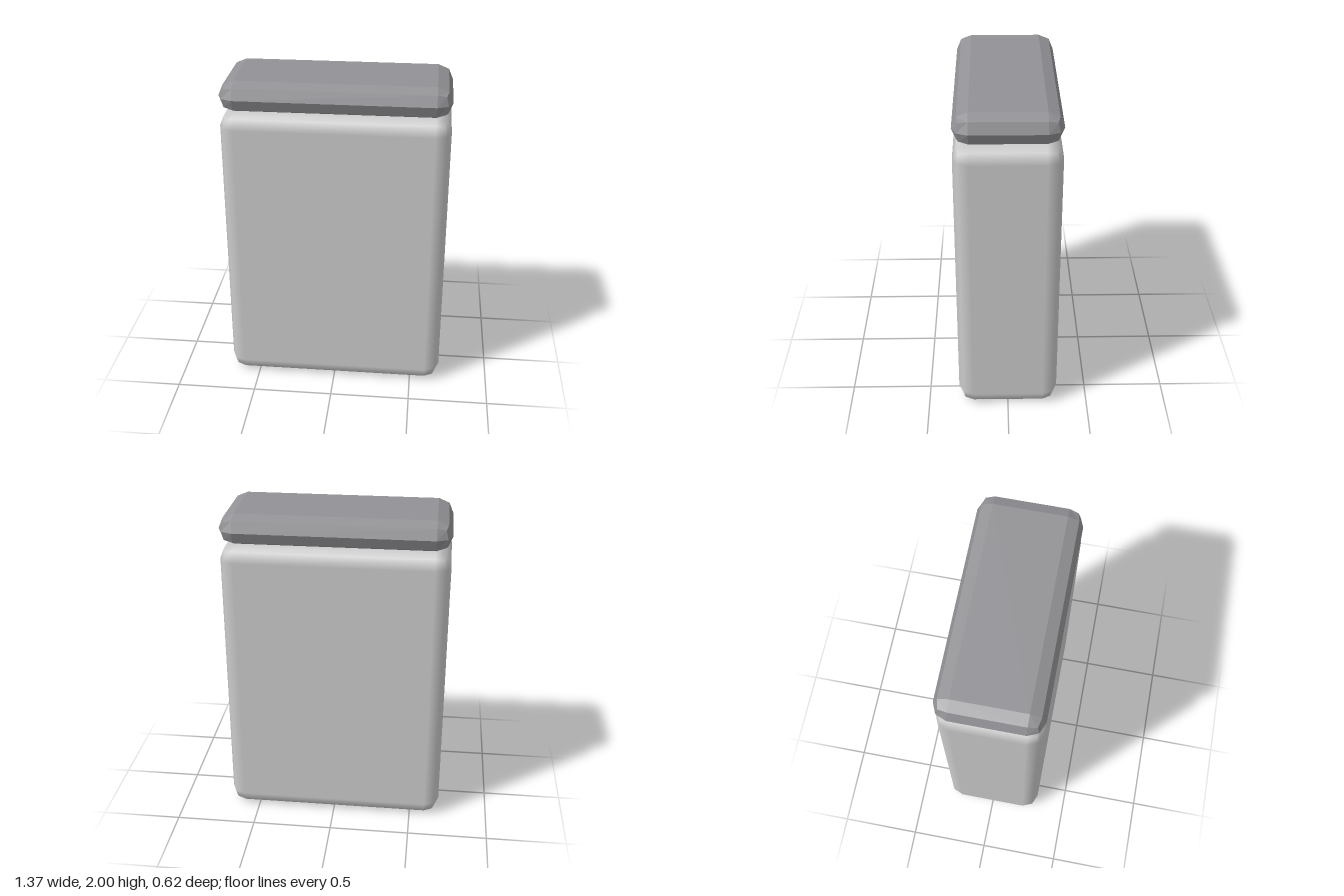
import * as THREE from 'three';
import { RoundedBoxGeometry } from 'three/addons/geometries/RoundedBoxGeometry.js';

const WIDTH = 1.374;
const DEPTH = 0.62;
const RADIUS = 0.093; // shared edge radius, two bevel strips per edge
const LID_HEIGHT = 2 * RADIUS;
const BODY_HEIGHT = 2 - LID_HEIGHT;

function roundedBlock(name, height, bottom, material) {
  const geometry = new RoundedBoxGeometry(WIDTH, height, DEPTH, 1, RADIUS);
  const mesh = new THREE.Mesh(geometry, material);
  mesh.name = name;
  mesh.position.y = bottom + height / 2;
  return mesh;
}

export function createModel() {
  const model = new THREE.Group();
  model.name = 'liddedContainer';

  // Tall body with smooth shading
  const bodyMaterial = new THREE.MeshStandardMaterial({ color: 0xcccccc });
  model.add(roundedBlock('body', BODY_HEIGHT, 0, bodyMaterial));

  // Thin faceted lid whose bevels meet at mid height
  const lidMaterial = new THREE.MeshStandardMaterial({ color: 0x929296, flatShading: true });
  model.add(roundedBlock('lid', LID_HEIGHT, BODY_HEIGHT, lidMaterial));

  return model;
}
